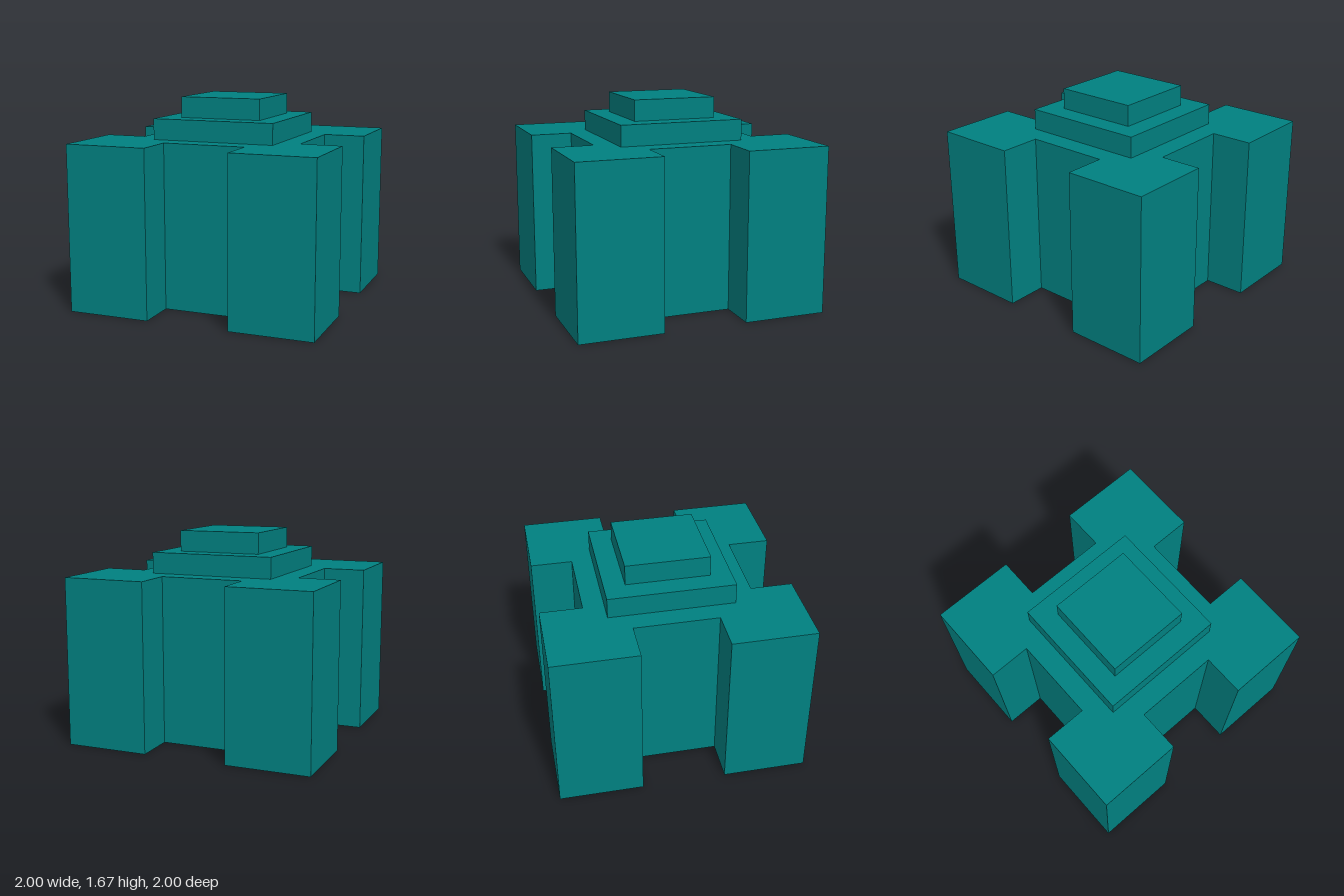
import * as THREE from 'three';

const U = 1 / 6;          // one grid module
const BODY_H = 8 * U;

// Cross-shaped plan: a square with a notch in the middle of each side, counter-clockwise
function planOutline() {
  const side = [[6, -6], [6, -2], [4, -2], [4, 2], [6, 2]];
  const points = [];
  for (let k = 0; k < 4; k++) {
    for (const [x, y] of side) {
      const p = new THREE.Vector2(x * U, y * U);
      for (let r = 0; r < k; r++) p.set(-p.y, p.x);
      points.push(p);
    }
  }
  return points;
}

// Square hole centred on (x, y)
function squareHole(x, y, half) {
  return new THREE.Path([[-1, -1], [-1, 1], [1, 1], [1, -1]]
    .map(([a, b]) => new THREE.Vector2(x + a * half, y + b * half)));
}

export function createModel() {
  const model = new THREE.Group();
  model.name = 'steppedBlock';
  const material = new THREE.MeshStandardMaterial({
    color: 0x008080, side: THREE.DoubleSide, flatShading: true,
  });
  const add = (name, geometry, parent = model) => {
    const mesh = new THREE.Mesh(geometry, material);
    mesh.name = name;
    parent.add(mesh);
    return mesh;
  };
  const outline = planOutline();

  // Thin outer walls, one panel per edge of the plan
  const walls = new THREE.Group();
  walls.name = 'walls';
  model.add(walls);
  outline.forEach((a, i) => {
    const b = outline[(i + 1) % outline.length];
    const panel = add('wallPanel', new THREE.PlaneGeometry(a.distanceTo(b), BODY_H), walls);
    panel.position.set((a.x + b.x) / 2, BODY_H / 2, (a.y + b.y) / 2);
    panel.rotation.y = Math.atan2(b.y - a.y, a.x - b.x);
  });

  // Roof plate closing the hollow body
  add('roof', new THREE.ShapeGeometry(new THREE.Shape(outline)).rotateX(-Math.PI / 2))
    .position.y = BODY_H;

  // Floor plate: four large inner openings and a small one under each corner
  const floorShape = new THREE.Shape(outline);
  for (const sx of [-1, 1]) {
    for (const sy of [-1, 1]) {
      floorShape.holes.push(squareHole(sx * 2 * U, sy * 2 * U, U));
      floorShape.holes.push(squareHole(sx * 4.5 * U, sy * 4.5 * U, U / 2));
    }
  }
  add('floor', new THREE.ShapeGeometry(floorShape).rotateX(Math.PI / 2));

  // Two square steps on the roof
  add('lowerStep', new THREE.BoxGeometry(6 * U, U, 6 * U)).position.y = BODY_H + U / 2;
  add('upperStep', new THREE.BoxGeometry(4 * U, U, 4 * U)).position.y = BODY_H + 1.5 * U;

  return model;
}
